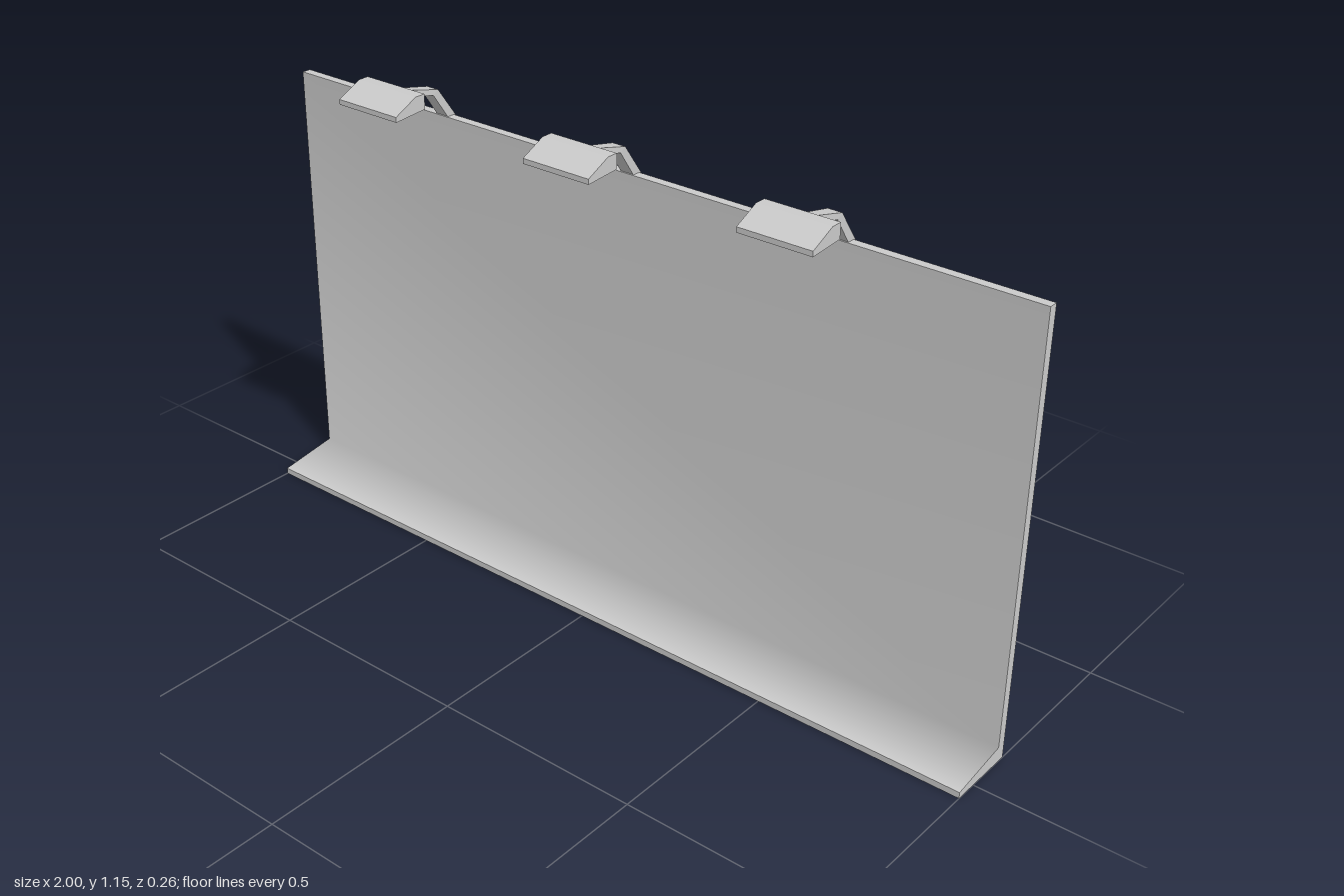
import * as THREE from 'three';

const solid = new THREE.MeshStandardMaterial({ color: 0xcccccc });
const sheet = new THREE.MeshStandardMaterial({ color: 0xcccccc, side: THREE.DoubleSide });

const HALF_WIDTH = 1;

// All profiles are [z, y] points
const shapeOf = (points, sign = 1) =>
  new THREE.Shape(points.map(([z, y]) => new THREE.Vector2(sign * z, y)));

function addMesh(parent, name, geometry, material) {
  const mesh = new THREE.Mesh(geometry, material);
  mesh.name = name;
  parent.add(mesh);
  return mesh;
}

// Sheet swept across the full width; neighbouring facets share smooth normals
function sweepSheet(points) {
  const positions = [], index = [];
  points.forEach(([z, y], i) => {
    positions.push(-HALF_WIDTH, y, z, HALF_WIDTH, y, z);
    if (i > 0) {
      const a = 2 * (i - 1);
      index.push(a, a + 2, a + 3, a, a + 3, a + 1);
    }
  });
  const geometry = new THREE.BufferGeometry();
  geometry.setAttribute('position', new THREE.Float32BufferAttribute(positions, 3));
  geometry.setIndex(index);
  geometry.computeVertexNormals();
  return geometry;
}

// Solid bar with the given side profile, centred on x = 0
function sideExtrude(points, width) {
  const geometry = new THREE.ExtrudeGeometry(shapeOf(points), { depth: width, bevelEnabled: false });
  geometry.translate(0, 0, -width / 2);
  geometry.rotateY(-Math.PI / 2);
  return geometry;
}

function createBoard() {
  const board = new THREE.Group();
  board.name = 'board';
  const topBack = [-0.117, 1.045], topFront = [-0.095, 1.045], corner = [-0.095, 0.038];
  const shelfFront = [0.055, 0.015], lipBottom = [0.055, 0], bottomBack = [-0.117, 0];

  // Hollow shell, open at the back
  addMesh(board, 'topEdge', sweepSheet([topBack, topFront]), sheet);
  addMesh(board, 'panelAndShelf', sweepSheet([topFront, corner, shelfFront]), sheet);
  addMesh(board, 'shelfLip', sweepSheet([shelfFront, lipBottom]), sheet);
  addMesh(board, 'underside', sweepSheet([lipBottom, bottomBack]), sheet);

  // End caps
  const outline = [topBack, topFront, corner, shelfFront, lipBottom, bottomBack];
  for (const side of [-1, 1]) {
    const cap = new THREE.ShapeGeometry(shapeOf(outline, -side));
    cap.rotateY(side * Math.PI / 2);
    cap.translate(side * HALF_WIDTH, 0, 0);
    addMesh(board, side > 0 ? 'leftEnd' : 'rightEnd', cap, sheet);
  }
  return board;
}

function createLamp() {
  const lamp = new THREE.Group();
  lamp.name = 'lamp';

  // Bent arm, narrowing towards the head
  const arm = sideExtrude([
    [-0.128, 1.03], [-0.097, 1.046], [-0.055, 1.107], [0.043, 1.129],
    [0.043, 1.144], [-0.07, 1.117], [-0.122, 1.045],
  ], 0.034);
  const p = arm.attributes.position;
  for (let i = 0; i < p.count; i++) {
    const t = THREE.MathUtils.clamp((p.getZ(i) + 0.055) / 0.098, 0, 1);
    p.setX(i, p.getX(i) * (1 - 0.35 * t));
  }
  arm.computeVertexNormals();
  addMesh(lamp, 'lampArm', arm, solid);

  // Wedge-shaped head
  addMesh(lamp, 'lampHead', sideExtrude([
    [0.131, 1.113], [0.131, 1.125], [0.07, 1.154], [0.043, 1.154], [0.043, 1.119],
  ], 0.175), solid);
  return lamp;
}

export function createModel() {
  const model = new THREE.Group();
  model.name = 'billboard';
  model.add(createBoard());
  for (const x of [-0.54, 0, 0.54]) {
    const lamp = createLamp();
    lamp.position.x = x;
    model.add(lamp);
  }
  return model;
}
